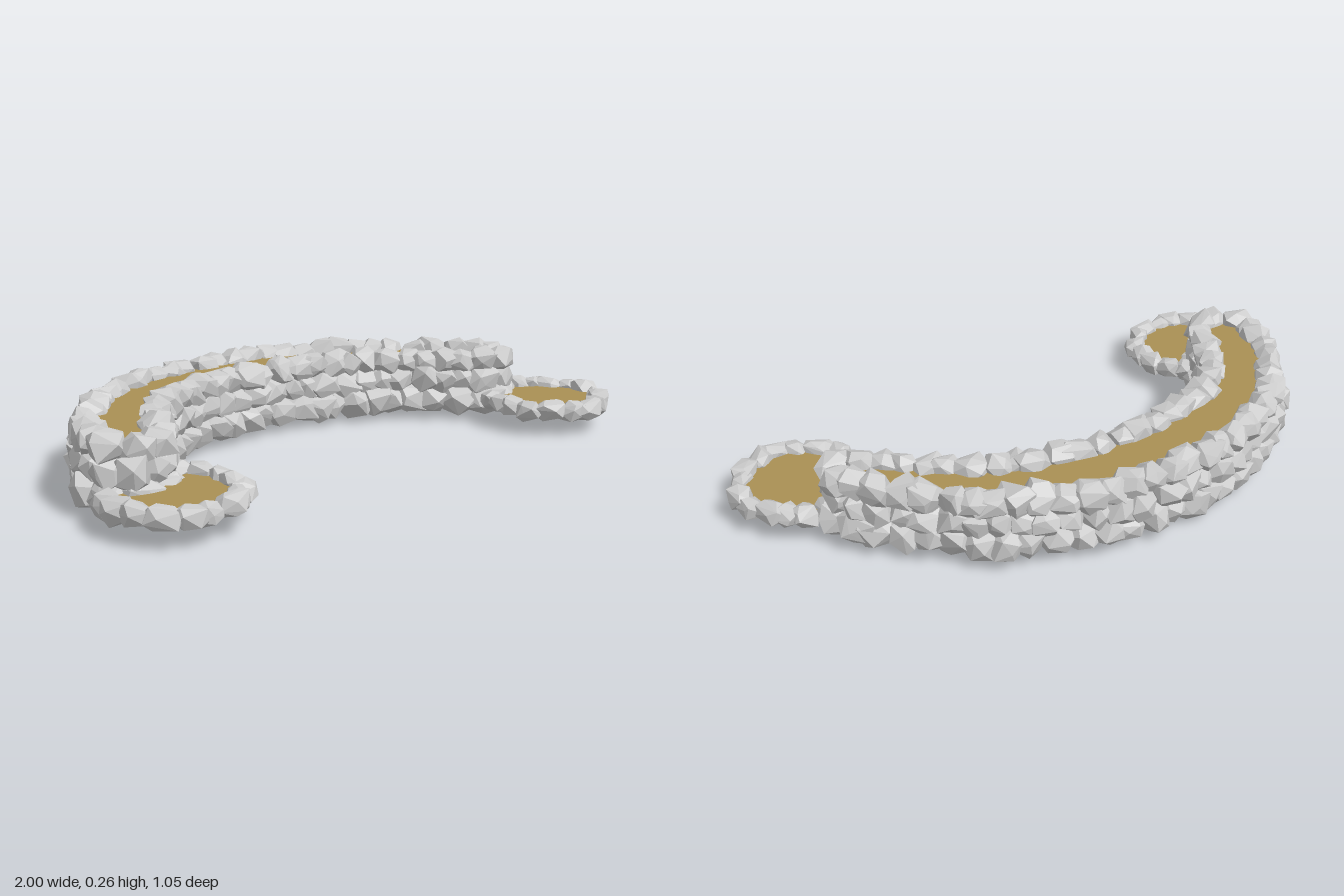
import * as THREE from 'three';
import { mergeGeometries } from 'three/addons/utils/BufferGeometryUtils.js';
import { ConvexGeometry } from 'three/addons/geometries/ConvexGeometry.js';

// Small seeded random generator
function makeRandom(seed) {
  return () => {
    seed = (seed * 1664525 + 1013904223) % 4294967296;
    return seed / 4294967296;
  };
}

const stoneMaterial = new THREE.MeshStandardMaterial({ color: 0xcccccc, flatShading: true });
const soilMaterial = new THREE.MeshStandardMaterial({ color: 0xaa9054, side: THREE.DoubleSide });

// Closed [x, z] outline of the curved wall: outer edge, right tip, inner edge, left end
const wallOutline = [
  [-0.88, 0.17], [-0.885, 0.05], [-0.79, -0.14], [-0.625, -0.305], [-0.38, -0.42], [-0.1, -0.45],
  [0.2, -0.405], [0.45, -0.27], [0.63, -0.09], [0.745, 0.07], [0.725, 0.135], [0.64, 0.11],
  [0.52, 0.005], [0.39, -0.105], [0.2, -0.195], [-0.1, -0.235], [-0.4, -0.195], [-0.58, -0.075],
  [-0.685, 0.06], [-0.75, 0.175]
];

// One angular boulder: the hull of jittered points on a boxy ellipsoid
function stone(random, length, height, depth) {
  const points = [];
  const count = 17;
  for (let i = 0; i < count; i++) {
    const v = 1 - (2 * (i + 0.5)) / count;
    const r = Math.sqrt(1 - v * v);
    const a = i * 2.39996 + random() * 0.9;
    const p = new THREE.Vector3(r * Math.cos(a), v + (random() - 0.5) * 0.3, r * Math.sin(a));
    const boxNorm = Math.max(Math.abs(p.x), Math.abs(p.y), Math.abs(p.z));
    p.multiplyScalar((0.84 + random() * 0.22) / Math.pow(boxNorm, 0.45));
    points.push(p.multiply(new THREE.Vector3(length / 2, height / 2, depth / 2)));
  }
  const geometry = new ConvexGeometry(points);
  geometry.rotateX((random() - 0.5) * 0.5);
  geometry.rotateZ((random() - 0.5) * 0.5);
  return geometry;
}

// A row of stones following a closed curve
function stoneCourse(name, curve, seed, { count, y, size, spread = 0, dip = () => 0 }) {
  const random = makeRandom(seed);
  const stones = [];
  const jitter = (amount) => (random() - 0.5) * amount;
  for (let i = 0; i < count; i++) {
    const u = ((i + 0.5 + jitter(0.4)) / count + 1) % 1;
    const p = curve.getPointAt(u);
    const t = curve.getTangentAt(u);
    const scale = 0.92 + random() * 0.18;
    const geometry = stone(random, size[0] * (0.85 + random() * 0.4), size[1] * scale, size[2] * scale);
    geometry.rotateY(Math.atan2(-t.z, t.x) + jitter(0.6));
    geometry.translate(
      p.x + t.z * spread + jitter(0.014),
      y + jitter(0.01) - dip(p),
      p.z - t.x * spread + jitter(0.014)
    );
    stones.push(geometry);
  }
  const mesh = new THREE.Mesh(mergeGeometries(stones), stoneMaterial);
  mesh.name = name;
  return mesh;
}

// Flat sheet of soil filling a closed curve
function soil(name, curve, y) {
  const outline = curve.getSpacedPoints(90).map((p) => new THREE.Vector2(p.x, p.z));
  const geometry = new THREE.ShapeGeometry(new THREE.Shape(outline.slice(0, -1)));
  geometry.rotateX(Math.PI / 2);
  geometry.translate(0, y, 0);
  const mesh = new THREE.Mesh(geometry, soilMaterial);
  mesh.name = name;
  return mesh;
}

const closedCurve = (points) =>
  new THREE.CatmullRomCurve3(points.map(([x, z]) => new THREE.Vector3(x, 0, z)), true);

// Curved raised bed: three stacked courses of stone with soil on top
function raisedBed() {
  const group = new THREE.Group();
  group.name = 'raisedBed';
  const curve = closedCurve(wallOutline);
  const sunkenEnd = (p) => (p.x > -0.82 && p.x < -0.66 && p.z > 0.02 ? 0.013 : 0);
  group.add(
    stoneCourse('baseCourse', curve, 11, { count: 56, y: 0.073, size: [0.13, 0.11, 0.13], spread: 0.003, dip: sunkenEnd }),
    stoneCourse('middleCourse', curve, 47, { count: 58, y: 0.141, size: [0.122, 0.106, 0.116], spread: 0.002 }),
    stoneCourse('topCourse', curve, 83, { count: 60, y: 0.207, size: [0.116, 0.095, 0.108] }),
    soil('bedSoil', curve, 0.212)
  );
  return group;
}

// Low round bed edged with one ring of stones
function roundBed(name, x, z, radius, seed) {
  const group = new THREE.Group();
  group.name = name;
  const ring = [];
  for (let i = 0; i < 12; i++) {
    const a = (i / 12) * Math.PI * 2;
    ring.push([x + radius * Math.cos(a), z + radius * Math.sin(a)]);
  }
  const curve = closedCurve(ring);
  group.add(
    stoneCourse('edgingStones', curve, seed, { count: 17, y: 0.086, size: [0.106, 0.074, 0.08] }),
    soil('roundBedSoil', curve, 0.09)
  );
  return group;
}

export function createModel() {
  const model = new THREE.Group();
  model.name = 'stoneGardenBed';
  model.add(
    raisedBed(),
    roundBed('rightRoundBed', -0.783, 0.283, 0.181, 5),
    roundBed('leftRoundBed', 0.777, 0.305, 0.181, 29)
  );

  // Centre on the ground
  const box = new THREE.Box3().setFromObject(model, true);
  const centre = box.getCenter(new THREE.Vector3());
  model.position.set(-centre.x, -box.min.y, -centre.z);
  return model;
}
